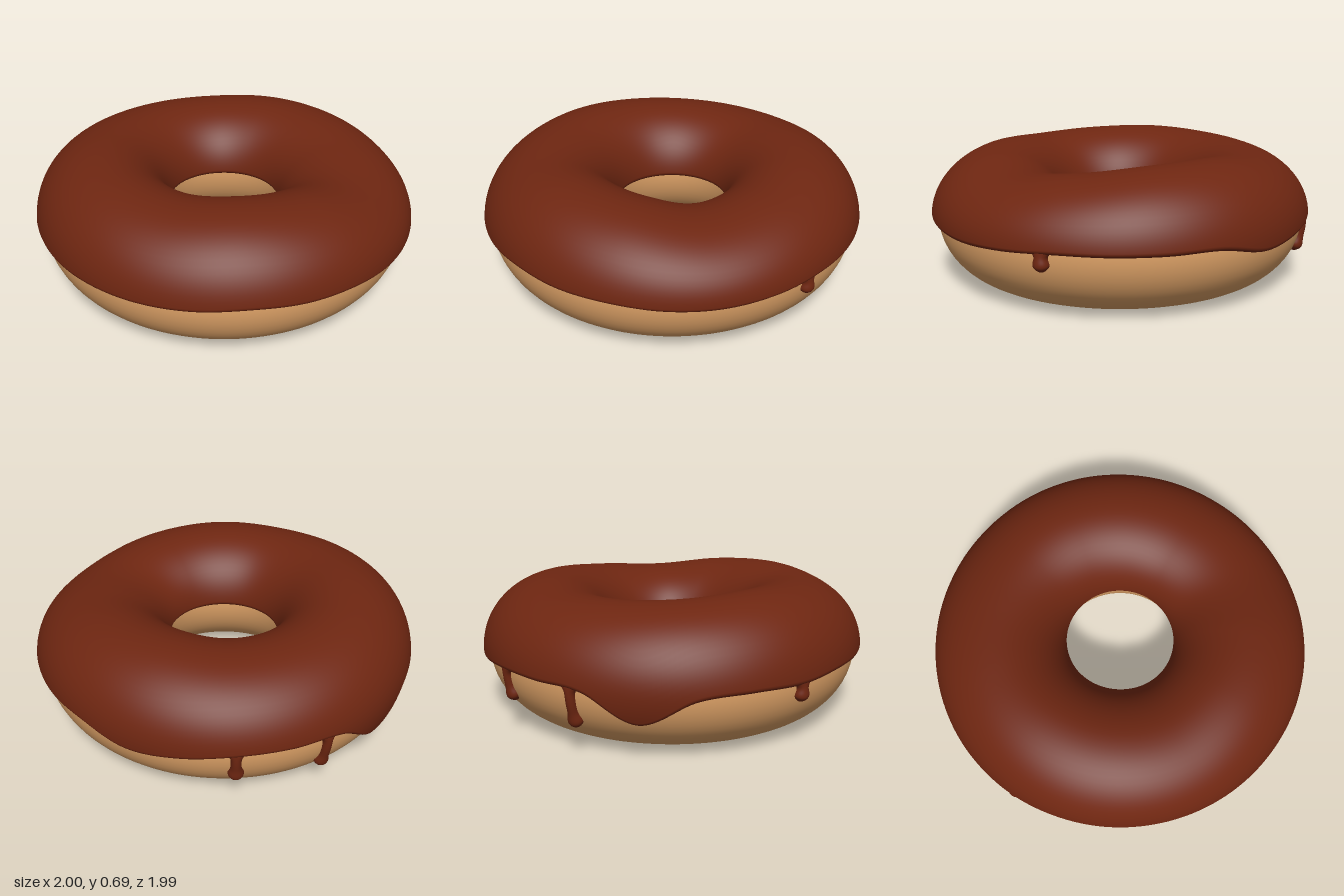
import * as THREE from 'three';

const RING = 0.63;      // radius of the ring's centre line
const MID = 0.33;       // height of the ring's centre line
const COAT = 0.033;     // icing thickness
const TAU = Math.PI * 2;

// Smooth value around the ring from evenly spaced samples
function around(samples) {
  const n = samples.length;
  return (a) => {
    const t = (((a / TAU) % 1) + 1) % 1 * n;
    const i = Math.floor(t), f = t - i;
    const [p, q, r, s] = [-1, 0, 1, 2].map((k) => samples[(i + k + n) % n]);
    return q + 0.5 * f * (r - p + f * (2 * p - 5 * q + 4 * r - s + f * (3 * (q - r) + s - p)));
  };
}

// Height of the icing's crest, every 30 degrees from +x towards +z
const crest = around([0.625, 0.6, 0.645, 0.67, 0.665, 0.68, 0.69, 0.675, 0.66, 0.655, 0.67, 0.66]);

// Height of the icing's outer edge, every 15 degrees
const edge = around([
  0.335, 0.32, 0.31, 0.315, 0.33, 0.335, 0.345, 0.335, 0.33, 0.33, 0.33, 0.335,
  0.325, 0.33, 0.31, 0.2, 0.325, 0.335, 0.33, 0.305, 0.29, 0.335, 0.335, 0.335,
]);

const upper = (a) => crest(a) - COAT - MID;

// Point on the dough at ring angle a and section angle phi, lifted outwards
function surface(a, phi, lift = 0) {
  const c = Math.cos(phi), s = Math.sin(phi);
  const r = RING + ((c > 0 ? 0.335 : 0.31) + lift) * c;
  const y = MID + ((s > 0 ? upper(a) : MID) + lift) * s;
  return [r * Math.cos(a), y, r * Math.sin(a)];
}

// Section angle on the outer side at height y
function phiAt(a, y) {
  return Math.asin(THREE.MathUtils.clamp((y - MID) / (y > MID ? upper(a) : MID), -1, 1));
}

// Grid of points, optionally closed in either direction
function grid(nu, nv, closeU, closeV, point) {
  const cu = closeU ? nu : nu + 1, cv = closeV ? nv : nv + 1;
  const pos = [], index = [];
  for (let i = 0; i < cu; i++)
    for (let j = 0; j < cv; j++) pos.push(...point(i / nu, j / nv, j));
  for (let i = 0; i < nu; i++)
    for (let j = 0; j < nv; j++) {
      const i2 = (i + 1) % cu, j2 = (j + 1) % cv;
      const a = i * cv + j, b = i * cv + j2, c = i2 * cv + j, d = i2 * cv + j2;
      index.push(a, b, c, c, b, d);
    }
  const g = new THREE.BufferGeometry();
  g.setAttribute('position', new THREE.Float32BufferAttribute(pos, 3));
  g.setIndex(index);
  g.computeVertexNormals();
  return g;
}

// Icing coat with a rounded lip along both edges
function icingGeometry() {
  const lip = 5, body = 32, total = body + 2 * lip;
  return grid(288, total, true, false, (u, v, j) => {
    const a = u * TAU;
    const start = phiAt(a, edge(a)), end = Math.PI - phiAt(a, 0.34);
    const round = 0.08;
    const low = start + round, high = end - round;
    if (j < lip) {
      const k = (1 - j / lip) * Math.PI / 2;
      return surface(a, low - round * Math.sin(k), COAT * Math.cos(k));
    }
    if (j > total - lip) {
      const k = (1 - (total - j) / lip) * Math.PI / 2;
      return surface(a, high + round * Math.sin(k), COAT * Math.cos(k));
    }
    return surface(a, low + (high - low) * (j - lip) / body, COAT);
  });
}

// Drip: narrow neck flaring into the coat, with a rounded bulb at its end
function dripGeometry(angle, bottom) {
  const top = edge(angle) + 0.03;
  return grid(16, 36, false, false, (u, v) => {
    const y = bottom + (top - bottom) * (1 - Math.cos(v * Math.PI / 2));
    const fromTop = top - y, fromEnd = y - bottom;
    const cap = Math.sqrt(1 - Math.max(0, 1 - fromEnd / 0.035) ** 2);
    const bulb = Math.exp(-(((fromEnd - 0.035) / 0.03) ** 2));
    const width = (0.024 + 0.04 * Math.exp(-((fromTop / 0.03) ** 2)) + 0.014 * bulb) * cap;
    const k = (u - 0.5) * Math.PI;
    const lift = (0.026 + 0.012 * bulb) * cap * Math.cos(k);
    const a = angle + width * Math.sin(k) / 0.95;
    return surface(a, phiAt(a, y), lift);
  });
}

export function createModel() {
  const group = new THREE.Group();
  const dough = new THREE.MeshStandardMaterial({ color: 0xdea267 });
  const icing = new THREE.MeshStandardMaterial({ color: 0x6e2611 });
  dough.name = 'golden dough';
  icing.name = 'chocolate icing';

  const add = (name, geometry, material) => {
    const mesh = new THREE.Mesh(geometry, material);
    mesh.name = name;
    group.add(mesh);
  };

  add('doughRing', grid(128, 56, true, true, (u, v) => surface(u * TAU, v * TAU)), dough);
  add('icingCoat', icingGeometry(), icing);

  // Drips: angle in degrees, height of the lower end
  [[3, 0.25], [179, 0.24], [244, 0.14], [270, 0.17]].forEach(([deg, bottom], i) =>
    add(`icingDrip${i + 1}`, dripGeometry(THREE.MathUtils.degToRad(deg), bottom), icing));

  return group;
}
